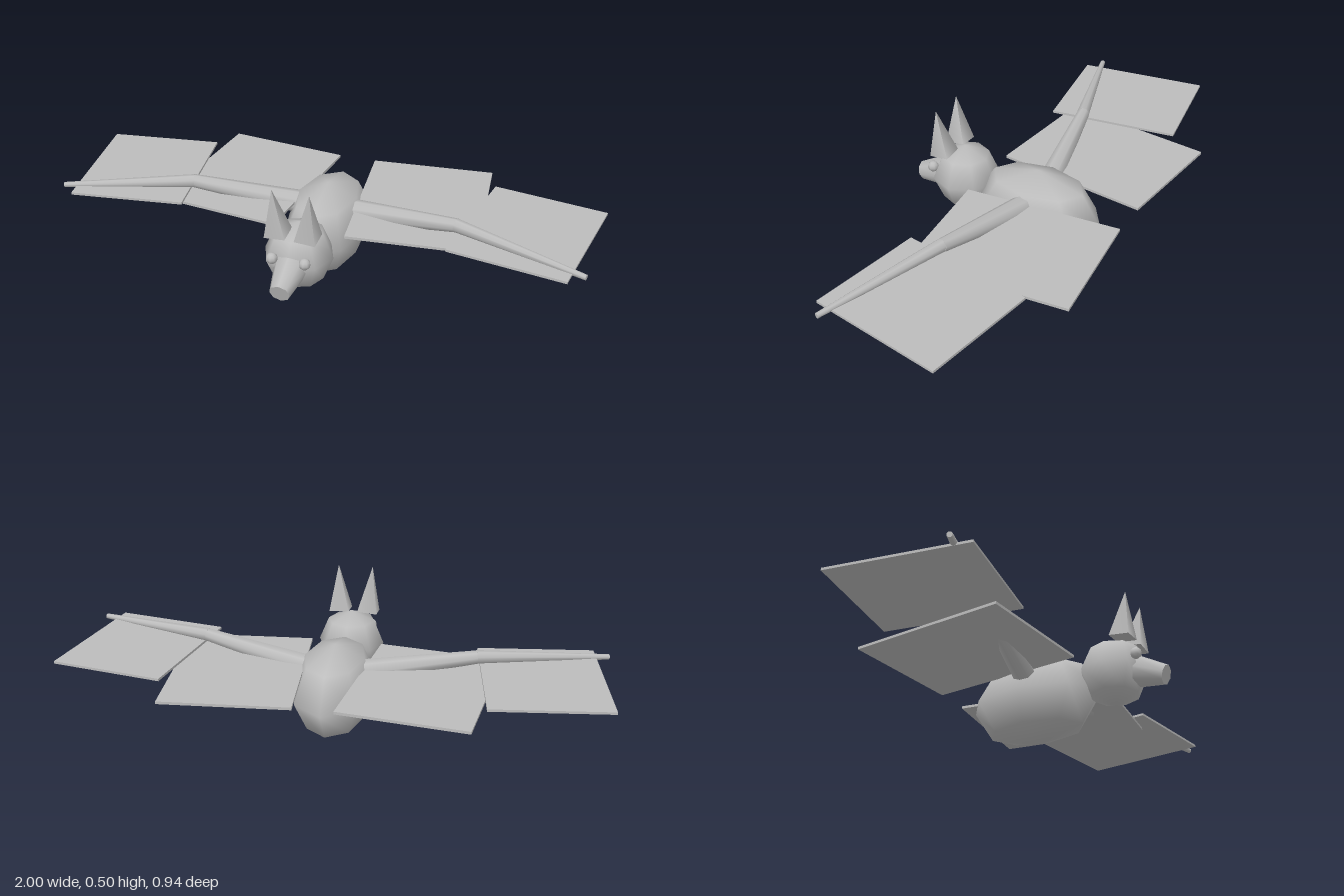
import * as THREE from 'three';

const grey = new THREE.MeshStandardMaterial({ color: 0xbcbcbc });
grey.name = 'grey';

function add(parent, name, geometry, position = [0, 0, 0]) {
  const mesh = new THREE.Mesh(geometry, grey);
  mesh.name = name;
  mesh.position.set(...position);
  parent.add(mesh);
  return mesh;
}

// Tapered limb running from point a (radius ra) to point b (radius rb)
function taper(parent, name, a, b, ra, rb, sides = 8, turn = 0) {
  const from = new THREE.Vector3(...a);
  const to = new THREE.Vector3(...b);
  const axis = to.clone().sub(from);
  const geometry = new THREE.CylinderGeometry(rb, ra, axis.length(), sides);
  geometry.rotateY(turn);
  const mesh = add(parent, name, geometry);
  mesh.position.copy(from).add(to).multiplyScalar(0.5);
  mesh.quaternion.setFromUnitVectors(new THREE.Vector3(0, 1, 0), axis.normalize());
  return mesh;
}

export function createModel() {
  const model = new THREE.Group();
  model.name = 'bat';

  // Body and head: coarse, smooth-shaded balls
  const body = add(model, 'body', new THREE.SphereGeometry(1, 8, 4), [0, 0.168, -0.055]);
  body.scale.set(0.156, 0.168, 0.262);
  add(model, 'head', new THREE.SphereGeometry(0.127, 8, 4), [0, 0.218, 0.26]);

  // Muzzle slopes down and forward
  taper(model, 'muzzle', [0, 0.212, 0.325], [0, 0.17, 0.457], 0.066, 0.037);

  for (const s of [1, -1]) {
    const side = s > 0 ? 'left' : 'right';

    // Ears: four-sided spikes leaning slightly out and forward
    taper(model, side + 'Ear', [s * 0.055, 0.323, 0.32], [s * 0.067, 0.5, 0.34], 0.054, 0, 4, Math.PI / 4);
    add(model, side + 'Eye', new THREE.SphereGeometry(0.021, 8, 6), [s * 0.06, 0.248, 0.37]);

    // Wing: two bones with a flat membrane panel behind each
    const wing = new THREE.Group();
    wing.name = side + 'Wing';
    model.add(wing);
    taper(wing, 'upperBone', [s * 0.08, 0.233, -0.055], [s * 0.51, 0.295, 0.027], 0.045, 0.025);
    taper(wing, 'outerBone', [s * 0.505, 0.295, 0.027], [s * 0.98, 0.272, 0.178], 0.025, 0.01);
    const inner = add(wing, 'innerMembrane', new THREE.BoxGeometry(0.468, 0.01, 0.593), [s * 0.336, 0.25, -0.156]);
    inner.rotation.y = s * 0.105;
    const outer = add(wing, 'outerMembrane', new THREE.BoxGeometry(0.43, 0.009, 0.505), [s * 0.75, 0.268, -0.057]);
    outer.rotation.y = -s * 0.152;
  }
  return model;
}
